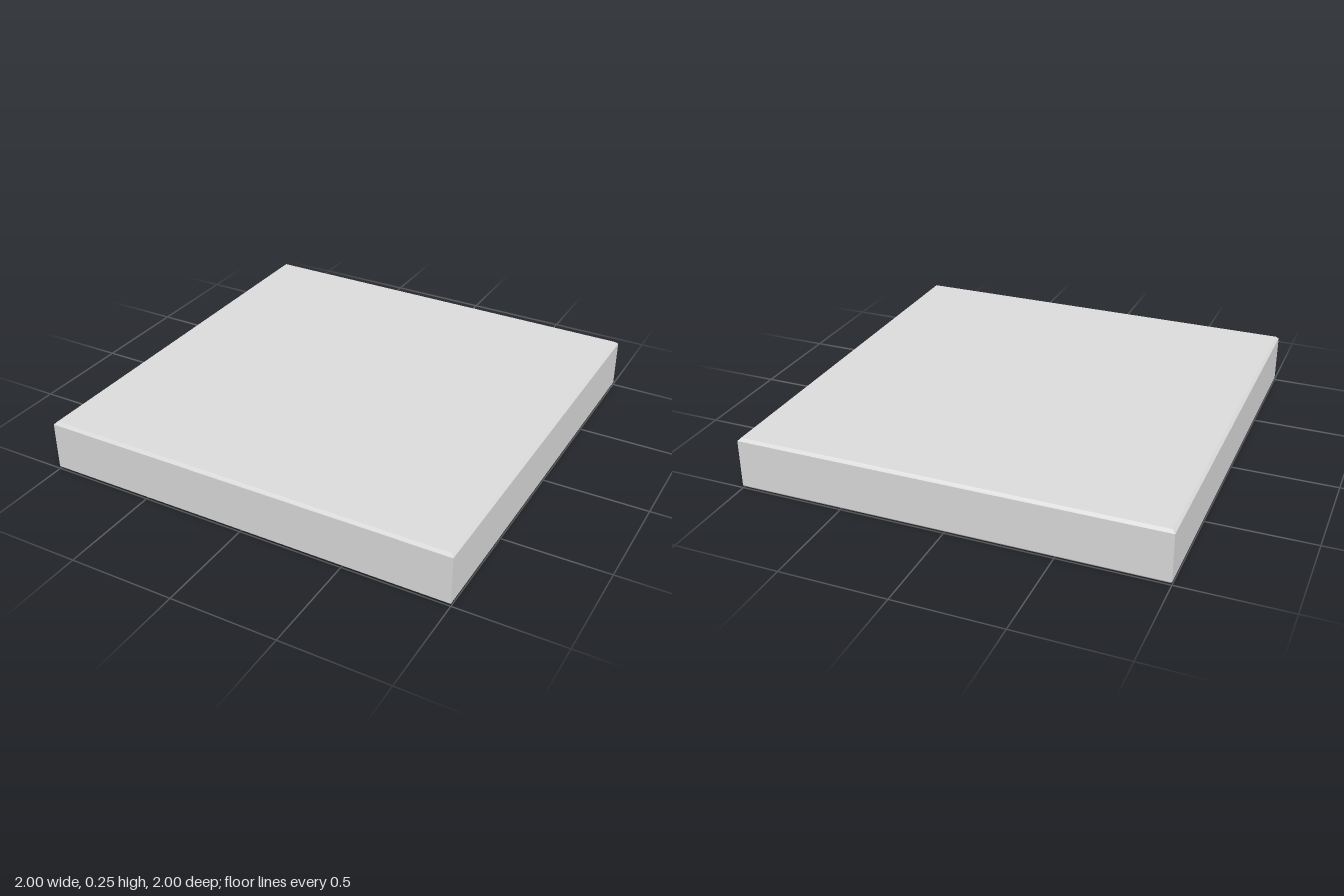
import * as THREE from 'three';
import { toCreasedNormals } from 'three/addons/utils/BufferGeometryUtils.js';

const HEIGHT = 0.253;   // overall height
const CEILING = 0.19;   // underside of the top plate
const OPENING = 0.85;   // half width of the hollow underneath
const BEVEL = 0.0127;

export function createModel() {
  const model = new THREE.Group();
  const grey = new THREE.MeshStandardMaterial({ color: 0xdadada });
  grey.name = 'light grey';

  // Hollow square shell: [half width, height] profile swept around four sides
  const profile = [
    [0, CEILING],
    [OPENING, CEILING],
    [OPENING, BEVEL],
    [OPENING + BEVEL, 0],
    [1 - BEVEL, 0],
    [1, BEVEL],
    [1, HEIGHT - BEVEL],
    [1 - BEVEL, HEIGHT],
    [0, HEIGHT],
  ].map(([r, y]) => new THREE.Vector2(r * Math.SQRT2, y));
  const shellGeometry = toCreasedNormals(new THREE.LatheGeometry(profile, 4, Math.PI / 4), 0.1);
  const shell = new THREE.Mesh(shellGeometry, grey);
  shell.name = 'tileShell';
  model.add(shell);

  // Three ribs under the top plate, running side to side, chamfered below
  const half = 0.085, bottom = 0.026;
  const section = new THREE.Shape([
    [-half, CEILING + 0.01],
    [-half, bottom + BEVEL],
    [-half + BEVEL, bottom],
    [half - BEVEL, bottom],
    [half, bottom + BEVEL],
    [half, CEILING + 0.01],
  ].map(([x, y]) => new THREE.Vector2(x, y)));
  const length = 2 * OPENING + 0.02;
  const ribGeometry = new THREE.ExtrudeGeometry(section, { depth: length, bevelEnabled: false });
  ribGeometry.translate(0, 0, -length / 2).rotateY(Math.PI / 2);
  for (const i of [-1, 0, 1]) {
    const rib = new THREE.Mesh(ribGeometry, grey);
    rib.name = 'rib' + (i + 2);
    rib.position.z = i * 0.467;
    model.add(rib);
  }
  return model;
}
